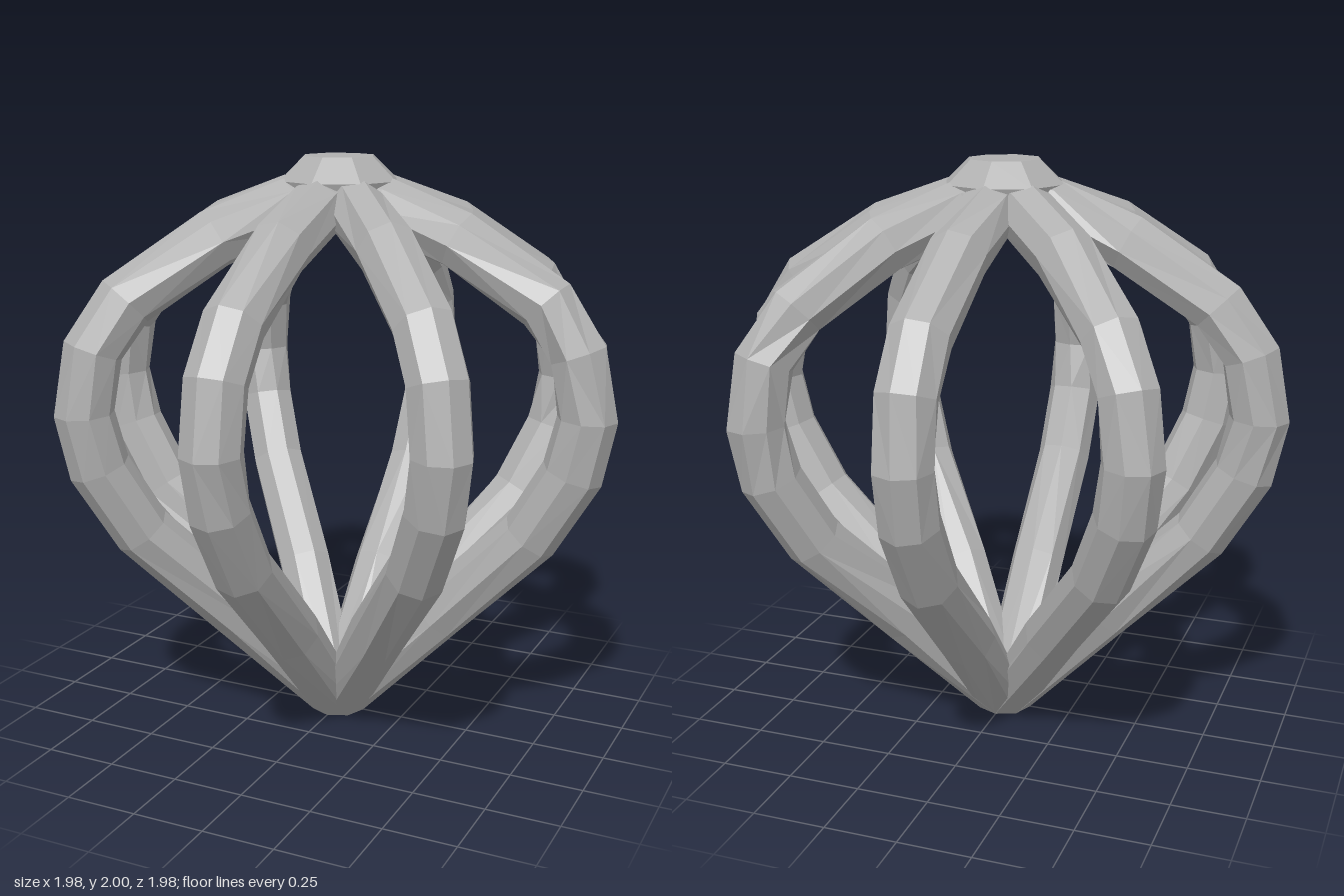
import * as THREE from 'three';

const RIBS = 8, SIDES = 8, HALF_WIDTH = 0.1;

// Rib profile: [outer radius, outer y, inner radius, inner y] from base to crown
const PROFILE = [
  [0.1, 0, -0.1, 0],
  [0.45, 0.355, 0.31, 0.5],
  [0.79, 0.7, 0.63, 0.82],
  [0.945, 0.96, 0.75, 1.03],
  [0.99, 1.18, 0.79, 1.19],
  [0.945, 1.43, 0.76, 1.36],
  [0.81, 1.62, 0.67, 1.48],
  [0.48, 1.83, 0.39, 1.65],
  [0.2, 1.93, 0.14, 1.74],
  [-0.02, 1.97, -0.02, 1.76],
];

function seeded(seed) {
  let s = seed;
  return () => (s = (s * 16807) % 2147483647) / 2147483647;
}

// Octagonal tube through the profile, rings turned slightly for faceted, hand-cut planes
function ribGeometry(seed) {
  const rand = seeded(seed);
  const pos = [], idx = [];
  PROFILE.forEach(([ro, yo, ri, yi], i) => {
    const twist = i === 0 ? 0 : (rand() - 0.5) * 0.4;
    for (let j = 0; j < SIDES; j++) {
      const a = (j / SIDES) * Math.PI * 2 + twist;
      const c = Math.cos(a);
      pos.push(
        (ro + ri) / 2 + ((ro - ri) / 2) * c,
        (yo + yi) / 2 + ((yo - yi) / 2) * c,
        HALF_WIDTH * Math.sin(a),
      );
    }
  });
  for (let i = 0; i < PROFILE.length - 1; i++) {
    for (let j = 0; j < SIDES; j++) {
      const k = (j + 1) % SIDES;
      const a = i * SIDES + j, b = i * SIDES + k;
      const c = a + SIDES, d = b + SIDES;
      if (rand() < 0.5) idx.push(a, c, b, b, c, d);
      else idx.push(a, d, b, a, c, d);
    }
  }
  const geo = new THREE.BufferGeometry();
  geo.setAttribute('position', new THREE.Float32BufferAttribute(pos, 3));
  geo.setIndex(idx);
  const flat = geo.toNonIndexed();
  flat.computeVertexNormals();
  return flat;
}

export function createModel() {
  const group = new THREE.Group();
  group.name = 'ribbedCage';
  const grey = new THREE.MeshStandardMaterial({ color: 0xb0b0b0, flatShading: true });
  grey.name = 'plain grey';

  // Curved ribs around the axis
  for (let i = 0; i < RIBS; i++) {
    const rib = new THREE.Mesh(ribGeometry(101 + i * 7919), grey);
    rib.name = `rib${i + 1}`;
    rib.rotation.y = (i / RIBS) * Math.PI * 2;
    group.add(rib);
  }

  // Crown hub with a flat top where the ribs meet
  const hubProfile = [[0, 1.76], [0.18, 1.82], [0.21, 1.92], [0.125, 2], [0, 2]]
    .map(([x, y]) => new THREE.Vector2(x, y));
  const hub = new THREE.Mesh(new THREE.LatheGeometry(hubProfile, RIBS), grey);
  hub.name = 'crownHub';
  group.add(hub);

  // Flat foot closing the shared bottom ring
  const foot = new THREE.Mesh(new THREE.CircleGeometry(HALF_WIDTH, SIDES), grey);
  foot.name = 'foot';
  foot.rotation.x = Math.PI / 2;
  group.add(foot);

  return group;
}
